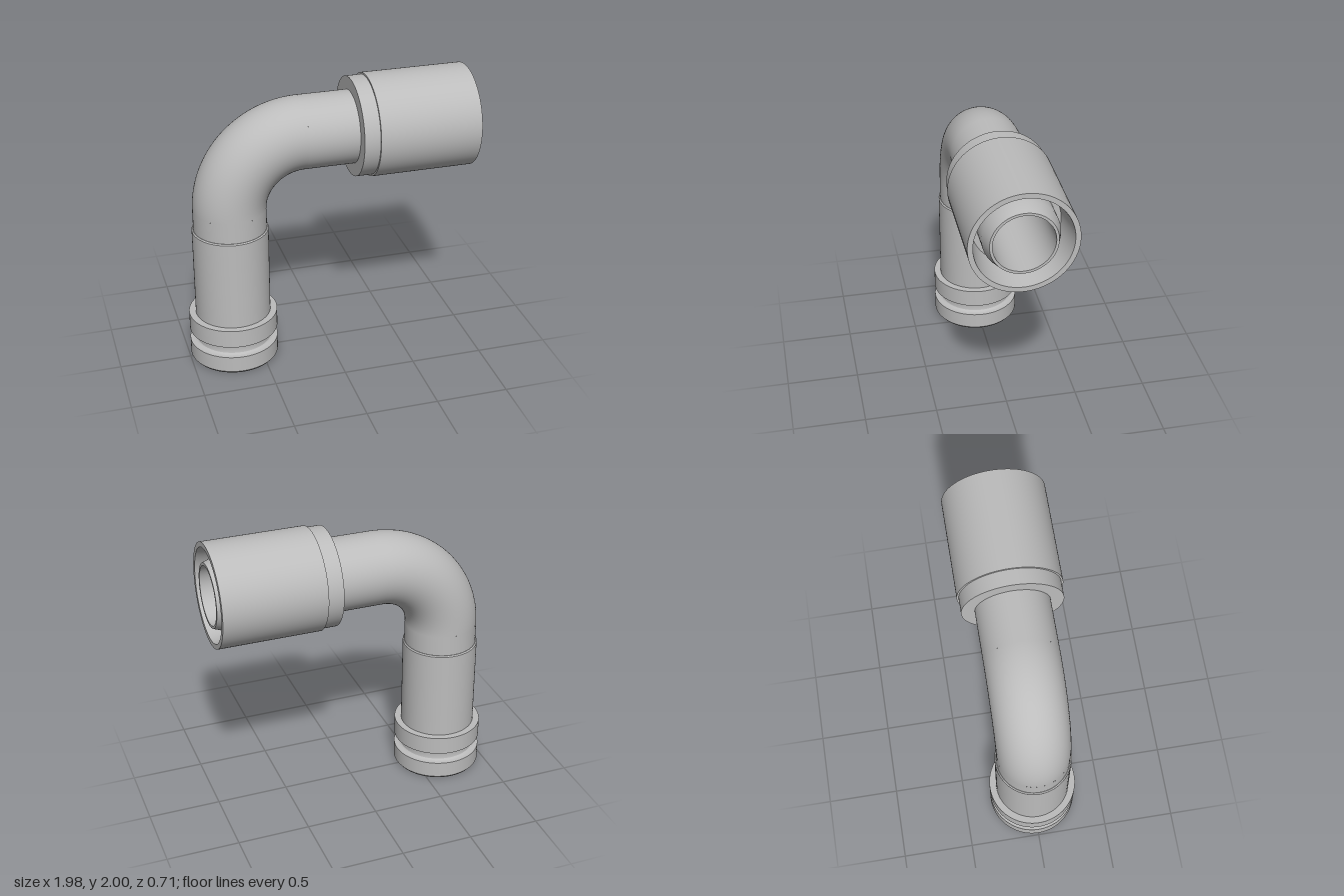
import * as THREE from 'three';
import { toCreasedNormals } from 'three/addons/utils/BufferGeometryUtils.js';

const SEG = 96;
const PIPE = 0.252, BORE = 0.2;         // outer and inner pipe radii
const LEG_X = -0.68, ARM_Y = 1.645;     // axes of the upright and horizontal runs
const BEND = 0.5;                       // centre-line radius of the elbow
const BEND_X = LEG_X + BEND, BEND_Y = ARM_Y - BEND;

// Turned part from [radius, height] pairs; walls face right of the path direction
function turned(profile) {
  const pts = profile.map(([r, h]) => new THREE.Vector2(r, h));
  return toCreasedNormals(new THREE.LatheGeometry(pts, SEG), 0.45);
}

// Quarter bend from the upright run to the horizontal run
function bend(radius, inward) {
  const g = new THREE.TorusGeometry(BEND, radius, 64, 48, Math.PI / 2);
  g.rotateZ(Math.PI / 2);
  if (inward) {
    const index = g.index.array, n = g.attributes.normal.array;
    for (let i = 0; i < index.length; i += 3) [index[i], index[i + 1]] = [index[i + 1], index[i]];
    for (let i = 0; i < n.length; i++) n[i] = -n[i];
  }
  return g;
}

export function createModel() {
  const model = new THREE.Group();
  model.name = 'pipeElbow';
  const metal = new THREE.MeshStandardMaterial({ color: 0xbcbcbc });
  metal.name = 'grey metal';

  function add(name, geometry, x, y) {
    const mesh = new THREE.Mesh(geometry, metal);
    mesh.name = name;
    mesh.position.set(x, y, 0);
    model.add(mesh);
  }

  // Upright spigot with two collars and a rounded seal groove
  add('spigot', turned([
    [BORE, BEND_Y], [BORE, 0], [0.295, 0], [0.31, 0.018],
    [0.31, 0.133], [0.28, 0.133], [0.271, 0.137], [0.265, 0.144], [0.263, 0.153],
    [0.263, 0.197], [0.265, 0.206], [0.271, 0.213], [0.28, 0.217], [0.31, 0.217],
    [0.31, 0.347], [0.263, 0.347], [0.263, 0.992], [0.255, 1.0], [PIPE, 1.0], [PIPE, BEND_Y],
  ]), LEG_X, 0);

  // Elbow, outside and bore
  add('elbow', bend(PIPE, false), BEND_X, BEND_Y);
  add('elbowBore', bend(BORE, true), BEND_X, BEND_Y);

  // Horizontal pipe with stepped sleeve, tapered ring pocket and inner nozzle
  const arm = turned([
    [PIPE, BEND_X], [PIPE, 0.17], [0.342, 0.17], [0.342, 0.28], [0.355, 0.28],
    [0.355, 0.99], [0.32, 0.99], [0.287, 0.75], [0.25, 0.75], [0.25, 0.9],
    [0.218, 0.99], [BORE, 0.99], [BORE, BEND_X],
  ]);
  arm.rotateZ(-Math.PI / 2);
  add('sleevedArm', arm, 0, ARM_Y);

  return model;
}
